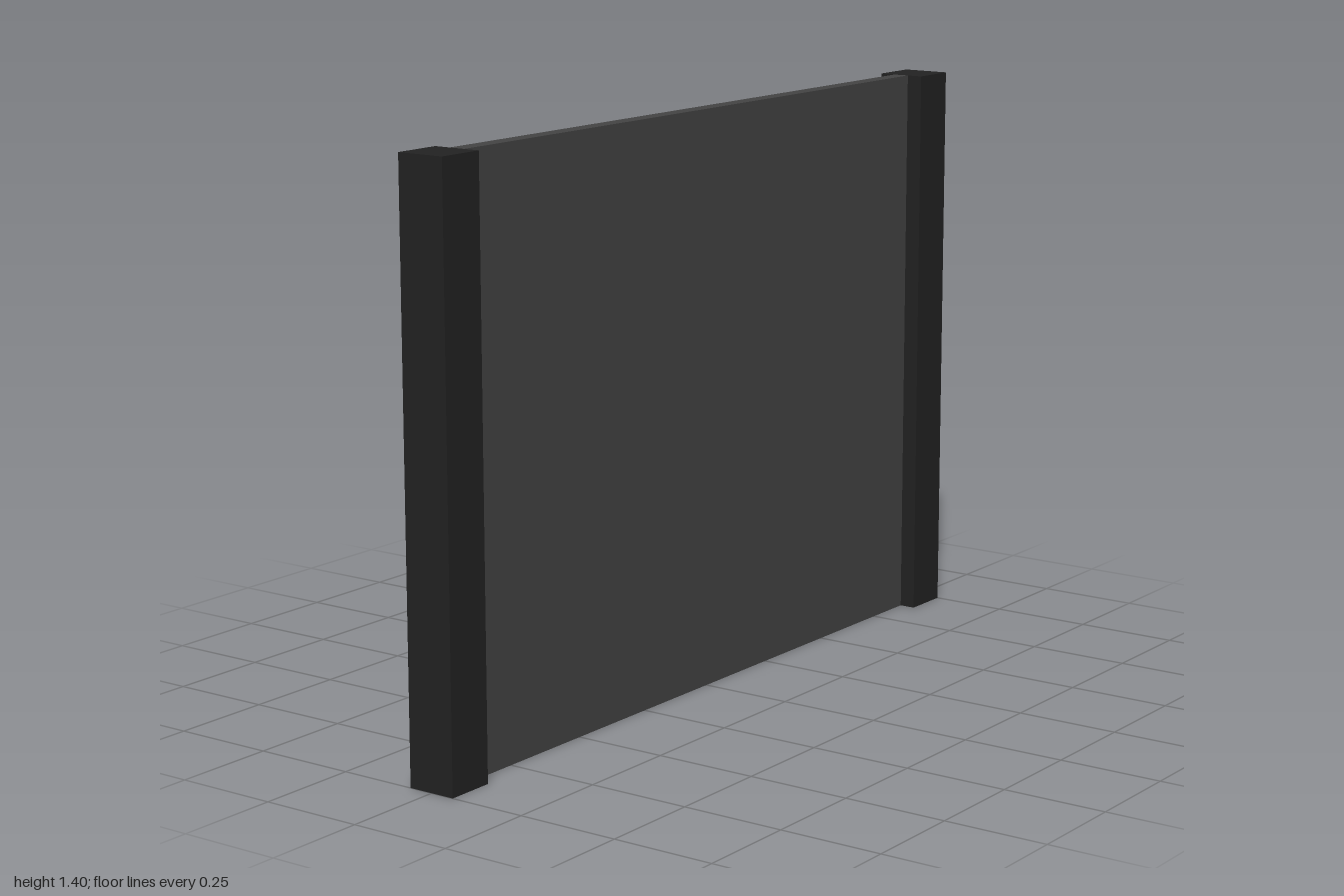
import * as THREE from 'three';

const HEIGHT = 1.4;
const POST = 0.12;

export function createModel() {
  const model = new THREE.Group();
  model.name = 'fencePanel';

  const postMaterial = new THREE.MeshStandardMaterial({ color: 0x222222 });
  postMaterial.name = 'charcoal black';
  const panelMaterial = new THREE.MeshStandardMaterial({ color: 0x444444 });
  panelMaterial.name = 'dark grey';

  // Adds a named upright box standing on the ground
  const addBox = (name, width, depth, x, material) => {
    const mesh = new THREE.Mesh(new THREE.BoxGeometry(width, HEIGHT, depth), material);
    mesh.name = name;
    mesh.position.set(x, HEIGHT / 2, 0);
    model.add(mesh);
  };

  // Square end posts
  addBox('leftPost', POST, POST, 1 - POST / 2, postMaterial);
  addBox('rightPost', POST, POST, -1 + POST / 2, postMaterial);

  // Thin panel spanning between the posts
  addBox('panel', 2 - 2 * POST, 0.04, 0, panelMaterial);

  return model;
}
